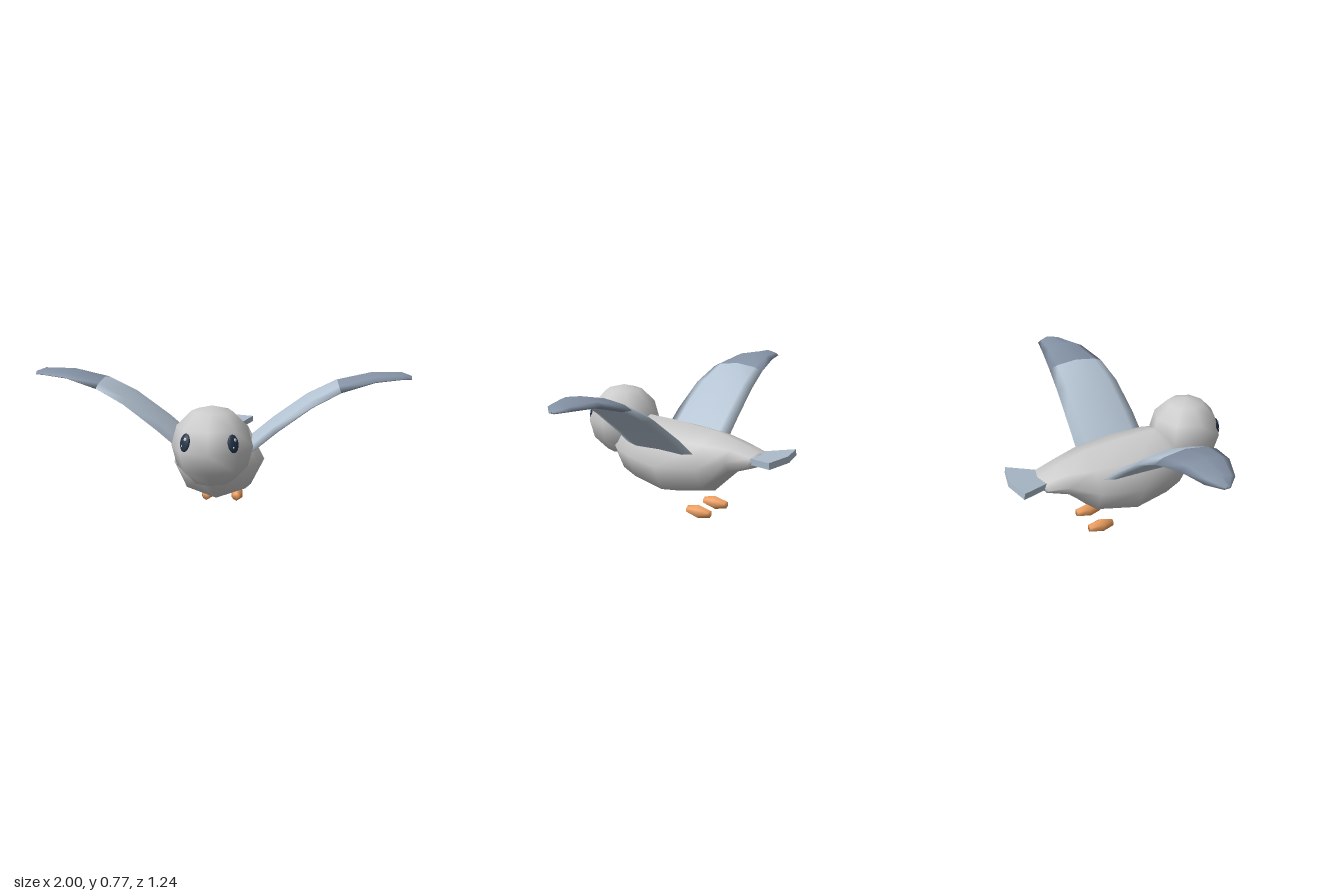
import * as THREE from 'three';

const mat = (color) => new THREE.MeshStandardMaterial({ color, side: THREE.DoubleSide });
const MATS = {
  body: mat(0xcccccc), wing: mat(0xb4c3d2), wingTip: mat(0x8492a5), tail: mat(0xabbaca),
  foot: mat(0xf0a060), eye: mat(0x24344a), glint: mat(0xffffff),
};

// Skins a row of equally sized rings, closes both ends and turns all faces outward
function loft(rings) {
  const n = rings[0].length;
  const pts = rings.flat();
  const index = [];
  for (let r = 0; r < rings.length - 1; r++) {
    for (let i = 0; i < n; i++) {
      const a = r * n + i, b = r * n + (i + 1) % n;
      index.push(a, b, a + n, b, b + n, a + n);
    }
  }
  const last = (rings.length - 1) * n;
  for (let i = 1; i < n - 1; i++) index.push(0, i + 1, i, last, last + i, last + i + 1);
  let volume = 0;
  for (let i = 0; i < index.length; i += 3) {
    const [a, b, c] = [0, 1, 2].map((k) => pts[index[i + k]]);
    volume += a.dot(b.clone().cross(c));
  }
  if (volume < 0) index.reverse();
  const geo = new THREE.BufferGeometry().setFromPoints(pts);
  geo.setIndex(index);
  geo.computeVertexNormals();
  return geo;
}

function add(parent, name, geo, material) {
  const mesh = new THREE.Mesh(geo, material);
  mesh.name = name;
  parent.add(mesh);
  return mesh;
}

// Ring of points around the z axis
function ringZ(z, bottom, top, rx, sides, cx = 0) {
  return Array.from({ length: sides }, (_, i) => {
    const a = (i / sides) * Math.PI * 2;
    return new THREE.Vector3(cx + Math.sin(a) * rx,
      (bottom + top) / 2 + Math.cos(a) * (top - bottom) / 2, z);
  });
}

// Wing stations: x, y, front z, back z, half thickness
const WING = [
  [0.13, 0.355, 0.25, -0.16, 0.022], [0.2, 0.41, 0.253, -0.16, 0.024],
  [0.3, 0.495, 0.25, -0.155, 0.025], [0.476, 0.625, 0.235, -0.142, 0.026],
  [0.625, 0.702, 0.207, -0.127, 0.025], [0.8, 0.748, 0.155, -0.1, 0.021],
  [0.945, 0.753, 0.085, -0.07, 0.015], [1, 0.742, 0.025, -0.008, 0.006],
];

// Lens-shaped wing section, tilted to stand square to the wing's curve
function wingRing(k, side) {
  const [x, y, zf, zb, t] = WING[k];
  const p = WING[Math.max(k - 1, 0)], q = WING[Math.min(k + 1, WING.length - 1)];
  const slope = Math.atan2(q[1] - p[1], q[0] - p[0]);
  return Array.from({ length: 8 }, (_, i) => {
    const a = (i / 8) * Math.PI * 2;
    const h = Math.sin(a) * t;
    const px = k === WING.length - 1 ? x : x - Math.sin(slope) * h;
    return new THREE.Vector3(side * px, y + Math.cos(slope) * h - 0.012 * Math.abs(Math.cos(a)) + 0.006,
      (zf + zb) / 2 + Math.cos(a) * (zf - zb) / 2);
  });
}

export function createModel() {
  const bird = new THREE.Group();
  bird.name = 'bird';

  // Body: z, bottom, top, half width
  const body = [
    [0.43, 0.27, 0.42, 0.1], [0.33, 0.17, 0.5, 0.18], [0.23, 0.133, 0.51, 0.215],
    [0.04, 0.097, 0.5, 0.243], [-0.19, 0.142, 0.478, 0.2], [-0.33, 0.275, 0.438, 0.137],
    [-0.445, 0.318, 0.397, 0.11], [-0.47, 0.345, 0.385, 0.05],
  ];
  add(bird, 'body', loft(body.map((r) => ringZ(...r, 8))), MATS.body);

  // Head
  const head = add(bird, 'head', new THREE.SphereGeometry(0.2, 8, 6), MATS.body);
  head.position.set(0, 0.46, 0.42);

  // Fanned tail, slightly raised
  const fan = new THREE.Shape([[-0.07, 0], [-0.15, 0.165], [0, 0.197], [0.15, 0.165], [0.07, 0]]
    .map(([x, y]) => new THREE.Vector2(x, y)));
  const tailGeo = new THREE.ExtrudeGeometry(fan, { depth: 0.034, bevelEnabled: false });
  const tail = add(bird, 'tail', tailGeo, MATS.tail);
  tail.rotation.x = -Math.PI / 2 + 0.12;
  tail.position.set(0, 0.349, -0.427);

  for (const side of [1, -1]) {
    const label = side > 0 ? 'left' : 'right';

    // Wing in two tones
    const wing = new THREE.Group();
    wing.name = label + 'Wing';
    add(wing, 'innerWing', loft([0, 1, 2, 3, 4].map((k) => wingRing(k, side))), MATS.wing);
    add(wing, 'wingTip', loft([4, 5, 6, 7].map((k) => wingRing(k, side))), MATS.wingTip);
    bird.add(wing);

    // Foot
    const foot = [[-0.073, 0.018, 0.06, 0.02], [-0.14, 0, 0.077, 0.036], [-0.213, 0.018, 0.06, 0.02]];
    add(bird, label + 'Foot', loft(foot.map((r) => ringZ(...r, 6, side * 0.085))), MATS.foot);

    // Eye with two glints
    const eye = new THREE.Group();
    eye.name = label + 'Eye';
    const dir = new THREE.Vector3(side * 0.6, 0.25, 0.75).normalize();
    eye.position.copy(head.position).addScaledVector(dir, 0.187);
    eye.lookAt(eye.position.clone().add(dir));
    add(eye, 'pupil', new THREE.SphereGeometry(1, 14, 8), MATS.eye).scale.set(0.03, 0.044, 0.012);
    for (const [x, y, r] of [[0.007, 0.016, 0.009], [-0.007, -0.018, 0.005]]) {
      const glint = add(eye, 'glint', new THREE.SphereGeometry(1, 8, 6), MATS.glint);
      glint.scale.set(r, r, 0.004);
      glint.position.set(x, y, 0.0095);
    }
    bird.add(eye);
  }
  return bird;
}
